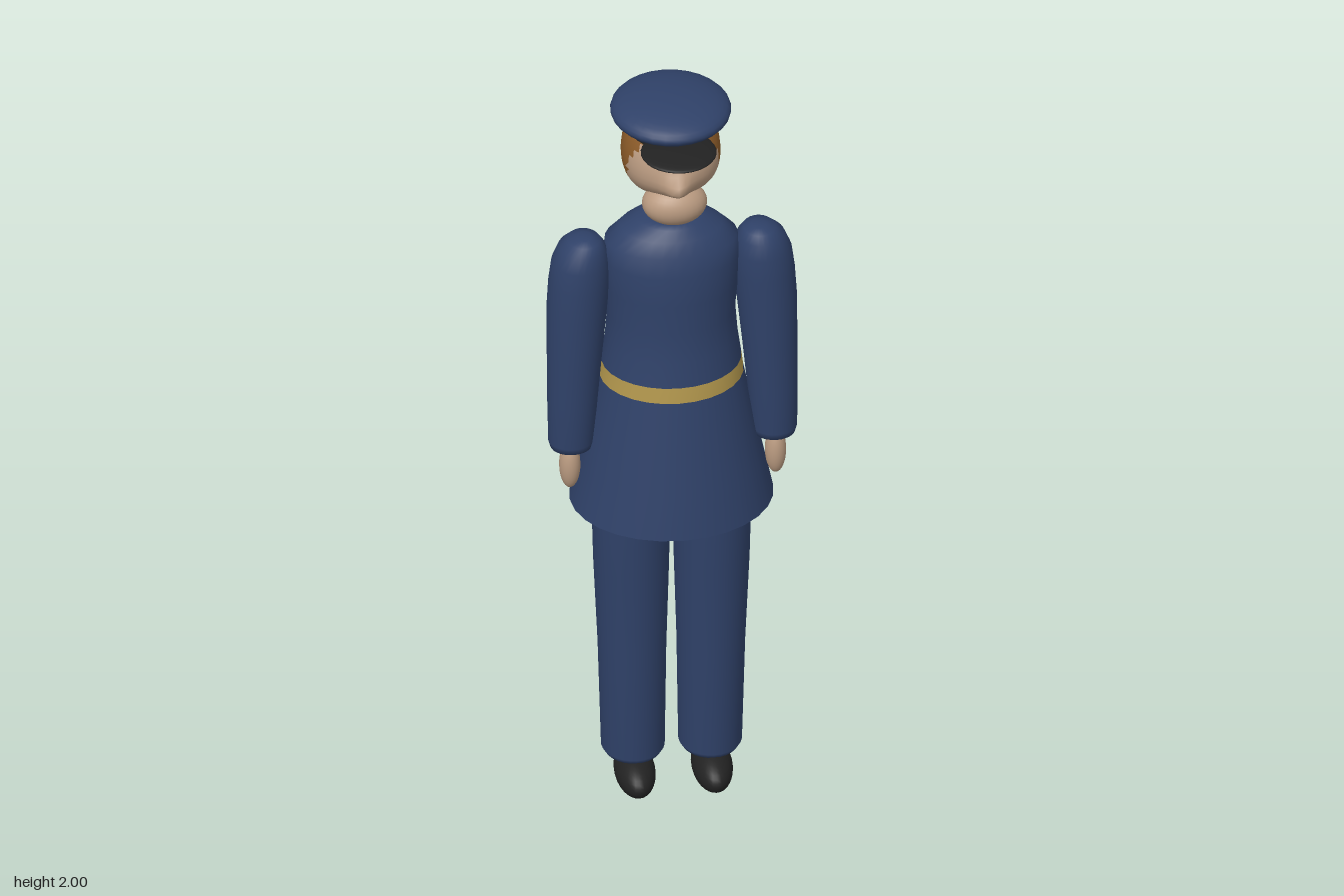
import * as THREE from 'three';

const material = (name, color, side = THREE.FrontSide) => {
  const m = new THREE.MeshStandardMaterial({ color, side });
  m.name = name;
  return m;
};

// Closed loft of elliptical rings, each [y, centreX, radiusX, frontZ, backZ], from bottom to top
function loft(rings, { segments = 28, capTop = true, capBottom = true, shape = null } = {}) {
  const pos = [], index = [], n = segments, last = (rings.length - 1) * n;
  for (const [y, cx, rx, zf, zb] of rings) {
    for (let j = 0; j < n; j++) {
      const a = (j / n) * Math.PI * 2;
      const p = new THREE.Vector3(cx + rx * Math.cos(a), y, (zf + zb) / 2 + ((zf - zb) / 2) * Math.sin(a));
      if (shape) shape(p);
      pos.push(p.x, p.y, p.z);
    }
  }
  for (let i = 0; i < rings.length - 1; i++) {
    for (let j = 0; j < n; j++) {
      const k = (j + 1) % n, a = i * n + j, b = i * n + k;
      index.push(a, a + n, b, b, a + n, b + n);
    }
  }
  const cap = ([y, cx, , zf, zb], start, up) => {
    const c = pos.length / 3;
    pos.push(cx, y, (zf + zb) / 2);
    for (let j = 0; j < n; j++) {
      const k = (j + 1) % n;
      if (up) index.push(c, start + k, start + j);
      else index.push(c, start + j, start + k);
    }
  };
  if (capBottom) cap(rings[0], 0, false);
  if (capTop) cap(rings[rings.length - 1], last, true);
  const g = new THREE.BufferGeometry();
  g.setAttribute('position', new THREE.Float32BufferAttribute(pos, 3));
  g.setIndex(index);
  g.computeVertexNormals();
  return g;
}

// Sort faces into two material groups by testing each face centre
function splitFaces(g, test) {
  const p = g.attributes.position, src = g.index.array, first = [], second = [];
  for (let i = 0; i < src.length; i += 3) {
    const t = [src[i], src[i + 1], src[i + 2]];
    const y = t.reduce((s, v) => s + p.getY(v), 0) / 3;
    const z = t.reduce((s, v) => s + p.getZ(v), 0) / 3;
    (test(y, z) ? second : first).push(...t);
  }
  g.setIndex([...first, ...second]);
  g.addGroup(0, first.length, 0);
  g.addGroup(first.length, second.length, 1);
  return g;
}

export function createModel() {
  const model = new THREE.Group();
  model.name = 'uniformedFigure';
  const navy = material('navyCloth', 0x2f4168);
  const coatNavy = navy;
  coatNavy.side = THREE.DoubleSide;
  const gold = material('goldBelt', 0xb0954c, THREE.DoubleSide);
  const skin = material('skin', 0xb99a80);
  const brown = material('brownHair', 0x8a5a28);
  const black = material('blackLeather', 0x222222);

  const add = (name, geometry, mat) => {
    const mesh = new THREE.Mesh(geometry, mat);
    mesh.name = name;
    model.add(mesh);
    return mesh;
  };
  const ellipsoid = (name, mat, [x, y, z], [rx, ry, rz]) => {
    const g = new THREE.SphereGeometry(1, 28, 18);
    g.scale(rx, ry, rz);
    add(name, g, mat).position.set(x, y, z);
  };

  // Coat: open skirt, belt and upper body
  const open = { capTop: false, capBottom: false };
  const beltLow = [1.195, 0, 0.177, 0.147, -0.162];
  const beltHigh = [1.235, 0, 0.172, 0.14, -0.156];
  add('coatSkirt', loft([
    [0.835, 0, 0.25, 0.212, -0.222], [0.95, 0, 0.226, 0.192, -0.204],
    [1.08, 0, 0.2, 0.168, -0.182], beltLow,
  ], open), coatNavy);
  add('belt', loft([beltLow, beltHigh], open), gold);
  add('coatBody', loft([
    beltHigh, [1.3, 0, 0.163, 0.129, -0.146], [1.38, 0, 0.157, 0.12, -0.14],
    [1.46, 0, 0.164, 0.122, -0.138], [1.54, 0, 0.169, 0.116, -0.132],
    [1.59, 0, 0.163, 0.104, -0.122], [1.625, 0, 0.125, 0.085, -0.105],
    [1.648, 0, 0.085, 0.065, -0.088], [1.656, 0, 0.065, 0.05, -0.075],
  ], { capBottom: false }), coatNavy);

  // Limbs, mirrored
  for (const [side, s] of [['left', 1], ['right', -1]]) {
    add(side + 'Sleeve', loft([
      [1.005, s * 0.25, 0.035, 0.05, -0.012], [1.012, s * 0.25, 0.051, 0.066, -0.028],
      [1.03, s * 0.25, 0.056, 0.071, -0.034], [1.15, s * 0.246, 0.062, 0.073, -0.046],
      [1.28, s * 0.24, 0.068, 0.075, -0.06], [1.4, s * 0.234, 0.074, 0.075, -0.074],
      [1.48, s * 0.228, 0.075, 0.074, -0.078], [1.54, s * 0.224, 0.071, 0.071, -0.077],
      [1.58, s * 0.22, 0.058, 0.062, -0.068], [1.6, s * 0.216, 0.04, 0.045, -0.05],
      [1.607, s * 0.214, 0.018, 0.02, -0.024],
    ]), navy);
    ellipsoid(side + 'Hand', skin, [s * 0.253, 0.955, 0.018], [0.026, 0.066, 0.029]);
    add(side + 'Trouser', loft([
      [0.088, s * 0.095, 0.05, 0.05, -0.058], [0.094, s * 0.095, 0.07, 0.071, -0.08],
      [0.108, s * 0.095, 0.078, 0.08, -0.089], [0.4, s * 0.097, 0.084, 0.084, -0.095],
      [0.65, s * 0.099, 0.093, 0.092, -0.104], [0.85, s * 0.1, 0.097, 0.1, -0.11],
      [0.98, s * 0.095, 0.094, 0.1, -0.11],
    ]), navy);
    ellipsoid(side + 'Shoe', black, [s * 0.095, 0.05, 0.029], [0.05, 0.05, 0.107]);
    const ankle = new THREE.CylinderGeometry(0.045, 0.045, 0.06, 20);
    add(side + 'Ankle', ankle, black).position.set(s * 0.095, 0.075, -0.015);
  }

  // Neck and chin
  const neck = new THREE.CylinderGeometry(0.043, 0.046, 0.14, 24);
  add('neck', neck, skin).position.set(0, 1.7, -0.012);
  ellipsoid('chin', skin, [0, 1.727, 0.053], [0.08, 0.056, 0.061]);

  // Head with a nose ridge; the faces behind the hairline are hair
  const head = loft([
    [1.703, 0, 0.035, -0.035, -0.085], [1.712, 0, 0.06, -0.015, -0.1],
    [1.73, 0, 0.082, 0.02, -0.116], [1.75, 0, 0.097, 0.058, -0.127],
    [1.768, 0, 0.106, 0.082, -0.134], [1.785, 0, 0.113, 0.098, -0.139],
    [1.802, 0, 0.118, 0.107, -0.143], [1.82, 0, 0.121, 0.11, -0.146],
    [1.84, 0, 0.122, 0.109, -0.147], [1.86, 0, 0.12, 0.104, -0.146],
    [1.88, 0, 0.117, 0.096, -0.143], [1.9, 0, 0.111, 0.084, -0.137],
    [1.925, 0, 0.098, 0.07, -0.125], [1.95, 0, 0.07, 0.045, -0.1],
  ], {
    segments: 44,
    shape: (p) => {
      if (p.z > 0.04) p.z += 0.04 * Math.exp(-((p.x / 0.032) ** 2) - ((p.y - 1.803) / 0.032) ** 2);
    },
  });
  const hairline = (y) => (y > 1.77 ? 0.01 + (y - 1.77) * 0.32 : 0.01 - (1.77 - y) * 0.85);
  add('headAndHair', splitFaces(head, (y, z) => z < hairline(y)), [skin, brown]);

  // Cap
  ellipsoid('capCrown', navy, [0, 1.955, -0.018], [0.148, 0.045, 0.155]);
  const band = new THREE.CylinderGeometry(0.108, 0.108, 0.02, 32);
  band.scale(1, 1, 1.12);
  add('capBand', band, black).position.set(0, 1.921, -0.018);
  ellipsoid('capVisor', black, [0, 1.924, 0.13], [0.093, 0.012, 0.092]);

  return model;
}
